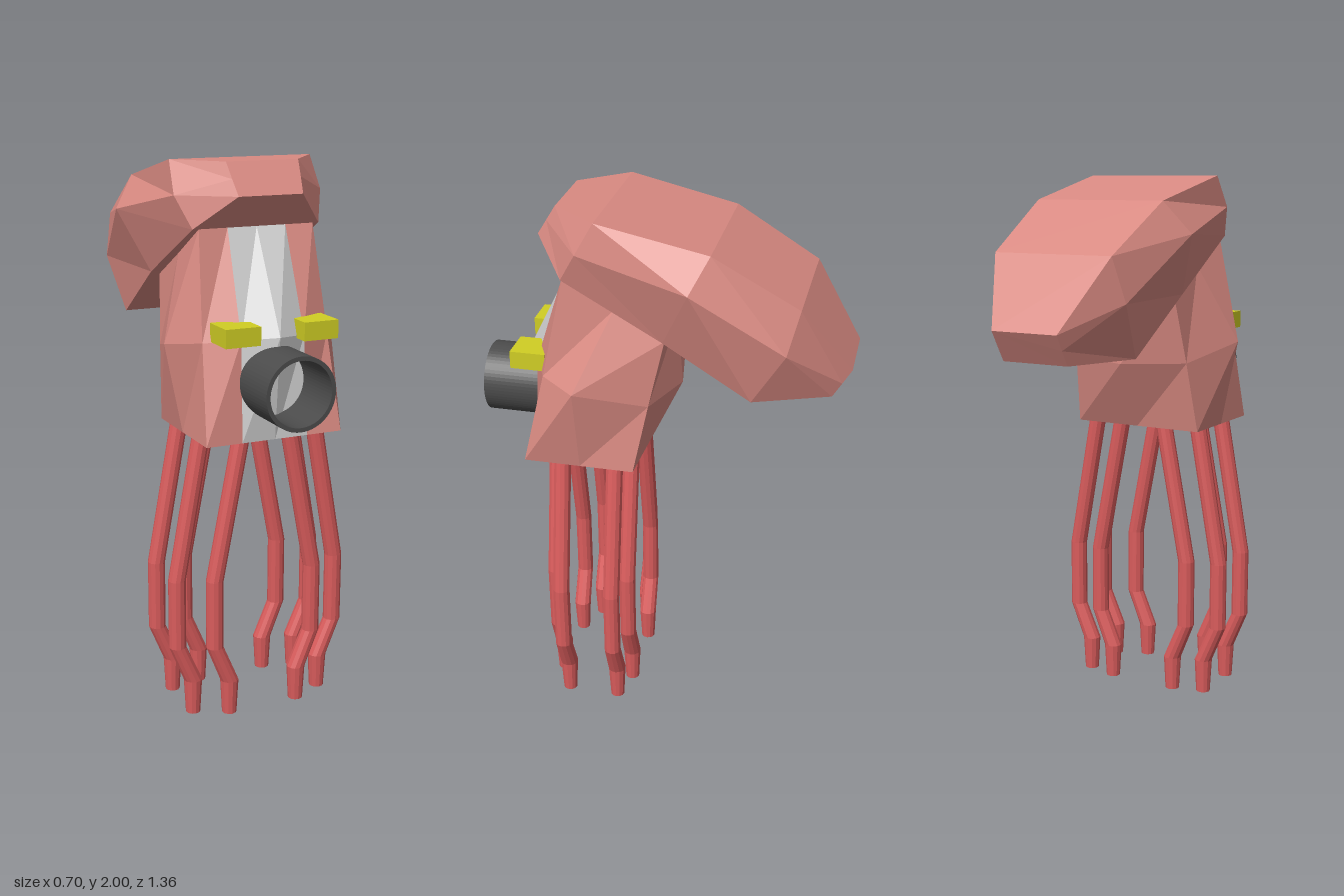
import * as THREE from 'three';

const paint = (name, color) => {
  const m = new THREE.MeshStandardMaterial({ color, flatShading: true });
  m.name = name;
  return m;
};

// Half a ring (x >= 0) completed by its mirror image
function mirrorRing(half) {
  const other = half.filter(p => p[0] > 0).reverse().map(([x, y, z]) => [-x, y, z]);
  return [...half, ...other];
}

// Skin between rings; columns picks which strips to build, caps closes both ends
function loft(rings, columns, caps) {
  const pos = [];
  const tri = (a, b, c) => pos.push(...a, ...b, ...c);
  const n = rings[0].length;
  for (let i = 0; i < rings.length - 1; i++) {
    for (const j of columns) {
      const k = (j + 1) % n;
      const a = rings[i][j], b = rings[i][k], c = rings[i + 1][k], d = rings[i + 1][j];
      tri(a, b, c);
      tri(a, c, d);
    }
  }
  if (caps) {
    const first = rings[0], last = rings[rings.length - 1];
    for (let j = 1; j < n - 1; j++) {
      tri(first[0], first[j + 1], first[j]);
      tri(last[0], last[j], last[j + 1]);
    }
  }
  const g = new THREE.BufferGeometry();
  g.setAttribute('position', new THREE.Float32BufferAttribute(pos, 3));
  g.computeVertexNormals();
  return g;
}

// Bent tentacle: a cylinder whose rows follow the given centres and radii
function tentacleGeometry(path, z) {
  const rows = path.length - 1;
  const g = new THREE.CylinderGeometry(1, 1, 1, 12, rows);
  const p = g.attributes.position;
  for (let i = 0; i < p.count; i++) {
    const [x, y, r] = path[Math.round((0.5 - p.getY(i)) * rows)];
    p.setXYZ(i, x + p.getX(i) * r, y, z + p.getZ(i) * r);
  }
  g.computeVertexNormals();
  return g;
}

export function createModel() {
  const model = new THREE.Group();
  model.name = 'squidRobot';
  const skin = paint('salmonSkin', 0xd98a82);
  const limb = paint('redTentacle', 0xd95c5c);
  const plate = paint('lightGrey', 0xd0d0d0);
  const dark = paint('darkGrey', 0x4c4c4c);
  const yellow = paint('yellow', 0xd0ce24);

  const add = (name, geometry, material) => {
    const mesh = new THREE.Mesh(geometry, material);
    mesh.name = name;
    model.add(mesh);
    return mesh;
  };

  // Body: front centre, panel edge, front corner, side, back corner, back centre
  const bodyRings = [
    [[0, 1.055, 0.49], [0.125, 1.055, 0.49], [0.26, 1.055, 0.49], [0.26, 1.055, 0.28], [0.26, 1.055, 0.08], [0, 1.055, 0.08]],
    [[0, 1.42, 0.52], [0.12, 1.41, 0.465], [0.24, 1.4, 0.41], [0.327, 1.38, 0.28], [0.24, 1.32, 0.025], [0, 1.31, -0.05]],
    [[0, 1.775, 0.33], [0.11, 1.775, 0.33], [0.217, 1.775, 0.33], [0.217, 1.67, 0.15], [0.217, 1.57, -0.03], [0, 1.57, -0.03]],
  ].map(mirrorRing);
  add('body', loft(bodyRings, [1, 2, 3, 4, 5, 6, 7, 8], true), skin);
  add('frontPanel', loft(bodyRings, [0, 9], false), plate);

  // Head: top edge, side ridge and bottom edge, from front to back
  const headRings = [
    [[0.135, 2, 0.37], [0.128, 1.945, 0.405], [0.12, 1.89, 0.44]],
    [[0.27, 2, 0.2], [0.28, 1.885, 0.265], [0.24, 1.775, 0.33]],
    [[0.258, 1.915, -0.195], [0.342, 1.8, -0.135], [0.25, 1.58, -0.03]],
    [[0.235, 1.74, -0.5], [0.267, 1.58, -0.46], [0.235, 1.38, -0.34]],
    [[0.13, 1.49, -0.675], [0.13, 1.435, -0.643], [0.13, 1.38, -0.61]],
  ].map(mirrorRing);
  add('head', loft(headRings, [0, 1, 2, 3, 4, 5], true), skin);

  // Open snout tube
  const ring = new THREE.Shape().absarc(0, 0, 0.13, 0, Math.PI * 2);
  ring.holes.push(new THREE.Path().absarc(0, 0, 0.115, 0, Math.PI * 2, true));
  const tube = new THREE.ExtrudeGeometry(ring, { depth: 0.25, bevelEnabled: false, curveSegments: 32 });
  add('snout', tube, dark).position.set(0, 1.26, 0.43);

  // Eyes and tentacles on both sides
  for (const [side, s] of [['left', 1], ['right', -1]]) {
    add(side + 'Eye', new THREE.BoxGeometry(0.13, 0.065, 0.13), yellow)
      .position.set(s * 0.147, 1.437, 0.475);

    const outer = [[0.216, 1.1, 0.032], [0.318, 0.53, 0.032], [0.318, 0.27, 0.032], [0.258, 0.13, 0.034], [0.258, 0, 0.027]];
    const inner = [[0.086, 1.1, 0.032], [0.195, 0.53, 0.032], [0.195, 0.27, 0.032], [0.137, 0.13, 0.034], [0.137, 0, 0.027]];
    const legs = [['FrontOuter', outer, 0.355], ['FrontInner', inner, 0.412], ['BackOuter', outer, 0.157], ['BackInner', inner, 0.125]];
    for (const [name, path, z] of legs) {
      const sided = path.map(([x, y, r]) => [s * x, y, r]);
      add(side + name + 'Tentacle', tentacleGeometry(sided, z), limb);
    }
  }

  for (const part of model.children) part.position.x -= 0.008;
  return model;
}
